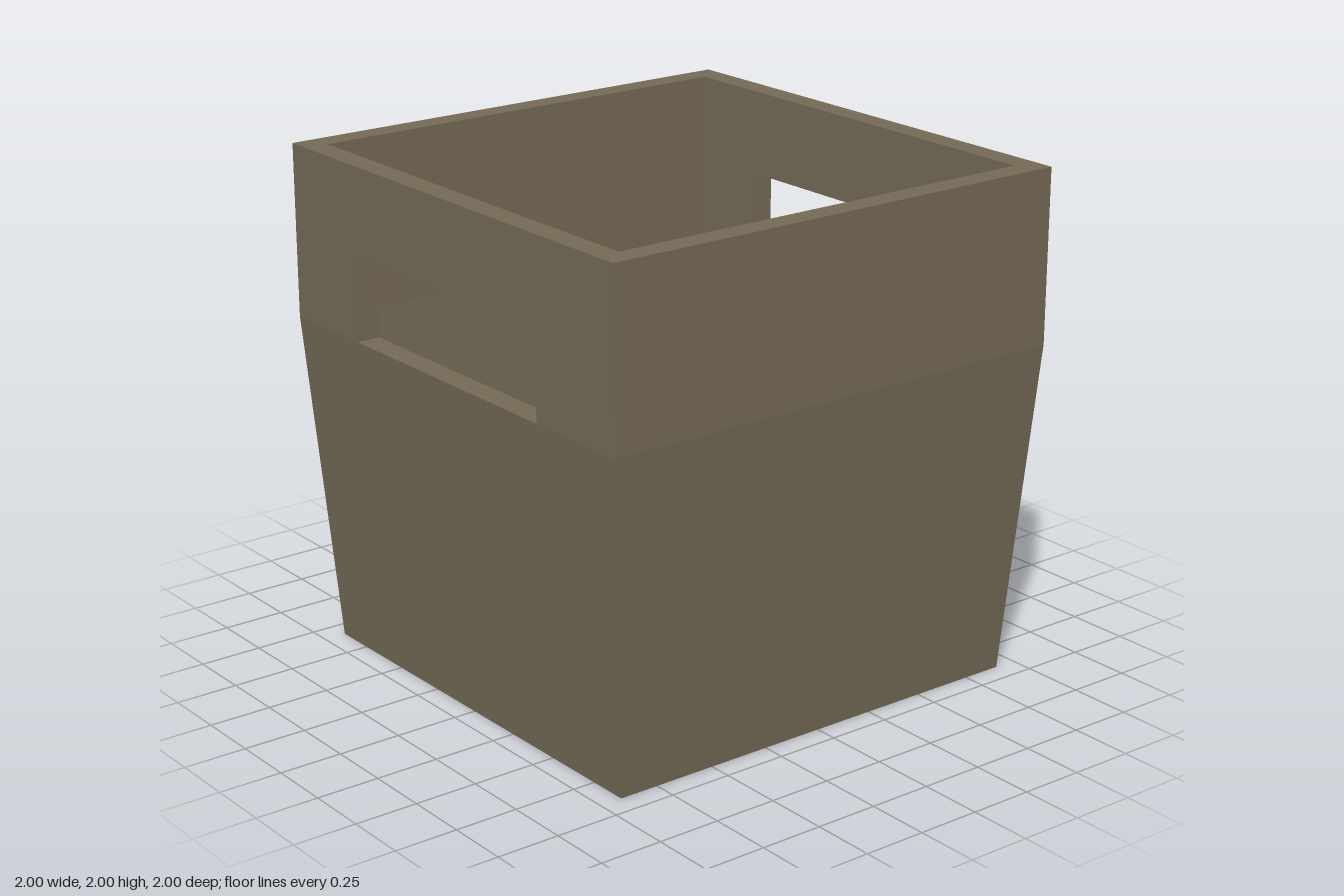
import * as THREE from 'three';

const UP = new THREE.Vector3(0, 1, 0);
// handle opening: z range and y range
const Z0 = -0.588, Z1 = 0.556, Y0 = 1.32, Y1 = 1.66;
// profile stations: [half width, height]
const FOOT = [0.91, 0], BEND = [1, Y0], TOP = [1, 2];
const IN_TOP = [0.905, 2], IN_BEND = [0.905, Y0], IN_FLOOR = [0.825, 0.09];

const material = new THREE.MeshStandardMaterial({ color: 0x756a56 });
material.name = 'taupe';

// mesh from four-cornered faces, each corner an [x, y, z]
function quadMesh(name, quads) {
  const pos = [];
  for (const [a, b, c, d] of quads) pos.push(...a, ...b, ...c, ...a, ...c, ...d);
  const geo = new THREE.BufferGeometry();
  geo.setAttribute('position', new THREE.Float32BufferAttribute(pos, 3));
  geo.computeVertexNormals();
  const mesh = new THREE.Mesh(geo, material);
  mesh.name = name;
  return mesh;
}

// turn a face drawn on the front (+z) side to side k
const turn = (k, quad) => quad.map((p) =>
  new THREE.Vector3(...p).applyAxisAngle(UP, k * Math.PI / 2).toArray());

// face between two profile stations on side k, from u0 to u1 across
function strip(k, [h0, y0], [h1, y1], u = [-h0, h0, h1, -h1]) {
  return turn(k, [[u[0], y0, h0], [u[1], y0, h0], [u[2], y1, h1], [u[3], y1, h1]]);
}

// range of the opening across side k (1 is +x, 3 is -x)
const openingRange = (k) => (k === 1 ? [-Z1, -Z0] : [Z0, Z1]);

// upright band on side k, split around the handle opening on the x sides
function band(k, p, q) {
  if (k % 2 === 0) return [strip(k, p, q)];
  const h = p[0], [a, b] = openingRange(k);
  const lintel = [h, Y1];
  const span = [a, b, b, a];
  return [
    strip(k, p, q, [-h, a, a, -h]),
    strip(k, p, q, [b, h, h, b]),
    p[1] < q[1] ? strip(k, lintel, q, span) : strip(k, p, lintel, span),
  ];
}

// four faces through the wall thickness around an opening
function reveal(k) {
  const [a, b] = openingRange(k), o = TOP[0], i = IN_TOP[0];
  return [
    [[a, Y0, o], [b, Y0, o], [b, Y0, i], [a, Y0, i]],
    [[a, Y1, i], [b, Y1, i], [b, Y1, o], [a, Y1, o]],
    [[a, Y0, o], [a, Y0, i], [a, Y1, i], [a, Y1, o]],
    [[b, Y0, i], [b, Y0, o], [b, Y1, o], [b, Y1, i]],
  ].map((quad) => turn(k, quad));
}

function plate(name, half, y, facing) {
  const geo = new THREE.PlaneGeometry(half * 2, half * 2).rotateX(-facing * Math.PI / 2);
  const mesh = new THREE.Mesh(geo, material);
  mesh.name = name;
  mesh.position.y = y;
  return mesh;
}

export function createModel() {
  const group = new THREE.Group();
  group.name = 'storageBin';
  const sides = [0, 1, 2, 3];
  group.add(
    quadMesh('outerTaperedWalls', sides.map((k) => strip(k, FOOT, BEND))),
    quadMesh('outerUpperBand', sides.flatMap((k) => band(k, BEND, TOP))),
    quadMesh('rim', sides.map((k) => strip(k, TOP, IN_TOP))),
    quadMesh('innerUpperBand', sides.flatMap((k) => band(k, IN_TOP, IN_BEND))),
    quadMesh('innerTaperedWalls', sides.map((k) => strip(k, IN_BEND, IN_FLOOR))),
    quadMesh('leftHandleOpening', reveal(1)),
    quadMesh('rightHandleOpening', reveal(3)),
    plate('floor', IN_FLOOR[0], IN_FLOOR[1], 1),
    plate('underside', FOOT[0], FOOT[1], -1),
  );
  return group;
}
